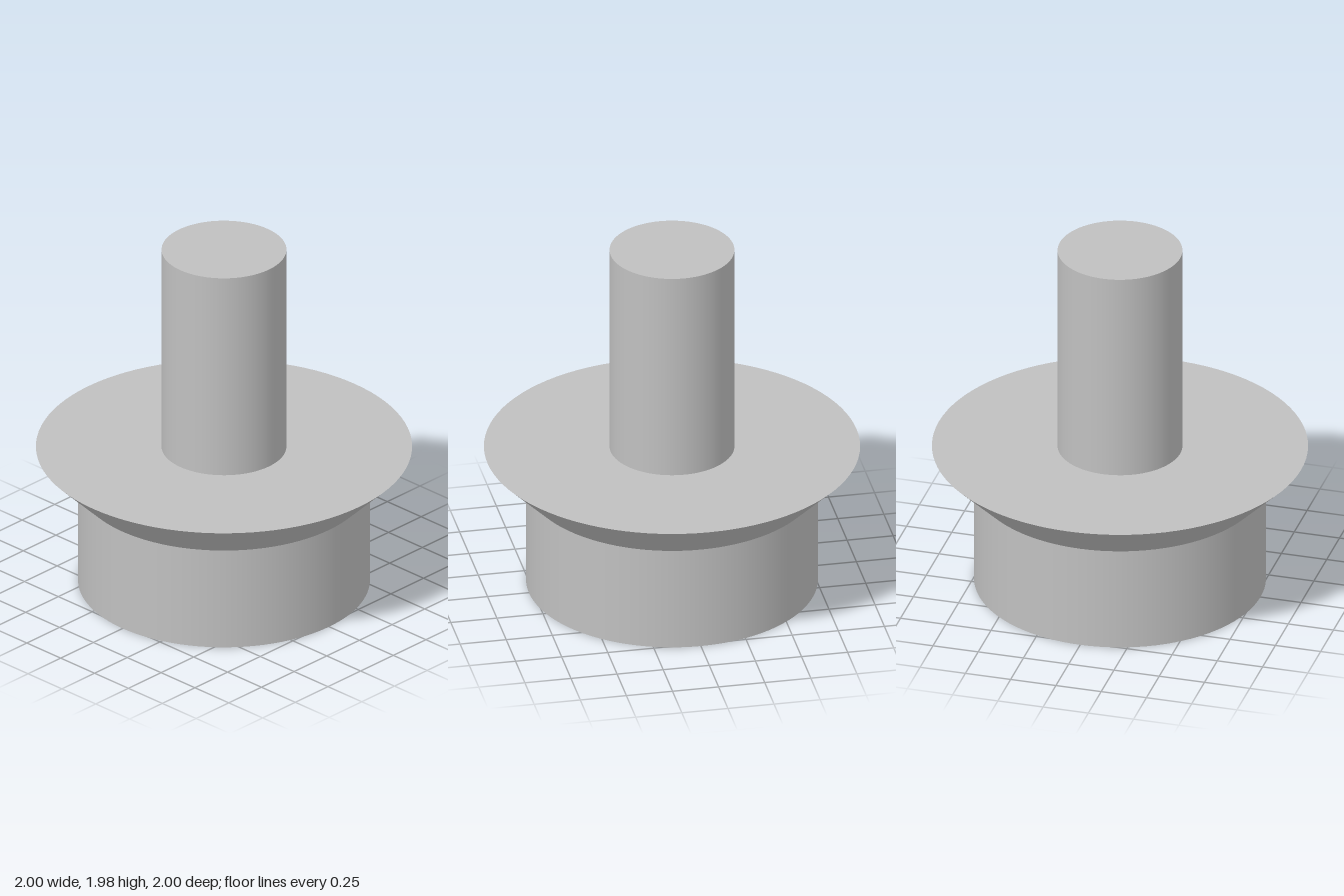
import * as THREE from 'three';

const SEGMENTS = 96;

export function createModel() {
  const model = new THREE.Group();
  const steel = new THREE.MeshStandardMaterial({ color: 0xc0c0c0 });
  steel.name = 'light grey steel';

  const add = (name, geometry, y) => {
    const mesh = new THREE.Mesh(geometry, steel);
    mesh.name = name;
    mesh.position.y = y;
    model.add(mesh);
  };

  // Open round wall between two heights
  const wall = (name, rTop, rBottom, y0, y1) =>
    add(name, new THREE.CylinderGeometry(rTop, rBottom, y1 - y0, SEGMENTS, 1, true), (y0 + y1) / 2);

  // Flat disc or ring, facing up (1) or down (-1)
  const face = (name, inner, outer, y, dir) => {
    const flat = inner > 0
      ? new THREE.RingGeometry(inner, outer, SEGMENTS)
      : new THREE.CircleGeometry(outer, SEGMENTS);
    add(name, flat.rotateX(-dir * Math.PI / 2), y);
  };

  // Wide base drum
  face('baseUnderside', 0, 0.776, 0, -1);
  wall('baseDrum', 0.776, 0.776, 0, 0.58);

  // Flared collar
  wall('flaredCollar', 1, 0.776, 0.58, 0.8);
  face('collarTop', 0.332, 1, 0.8, 1);

  // Upright stem
  wall('stem', 0.332, 0.332, 0.8, 1.98);
  face('stemTop', 0, 0.332, 1.98, 1);

  return model;
}
